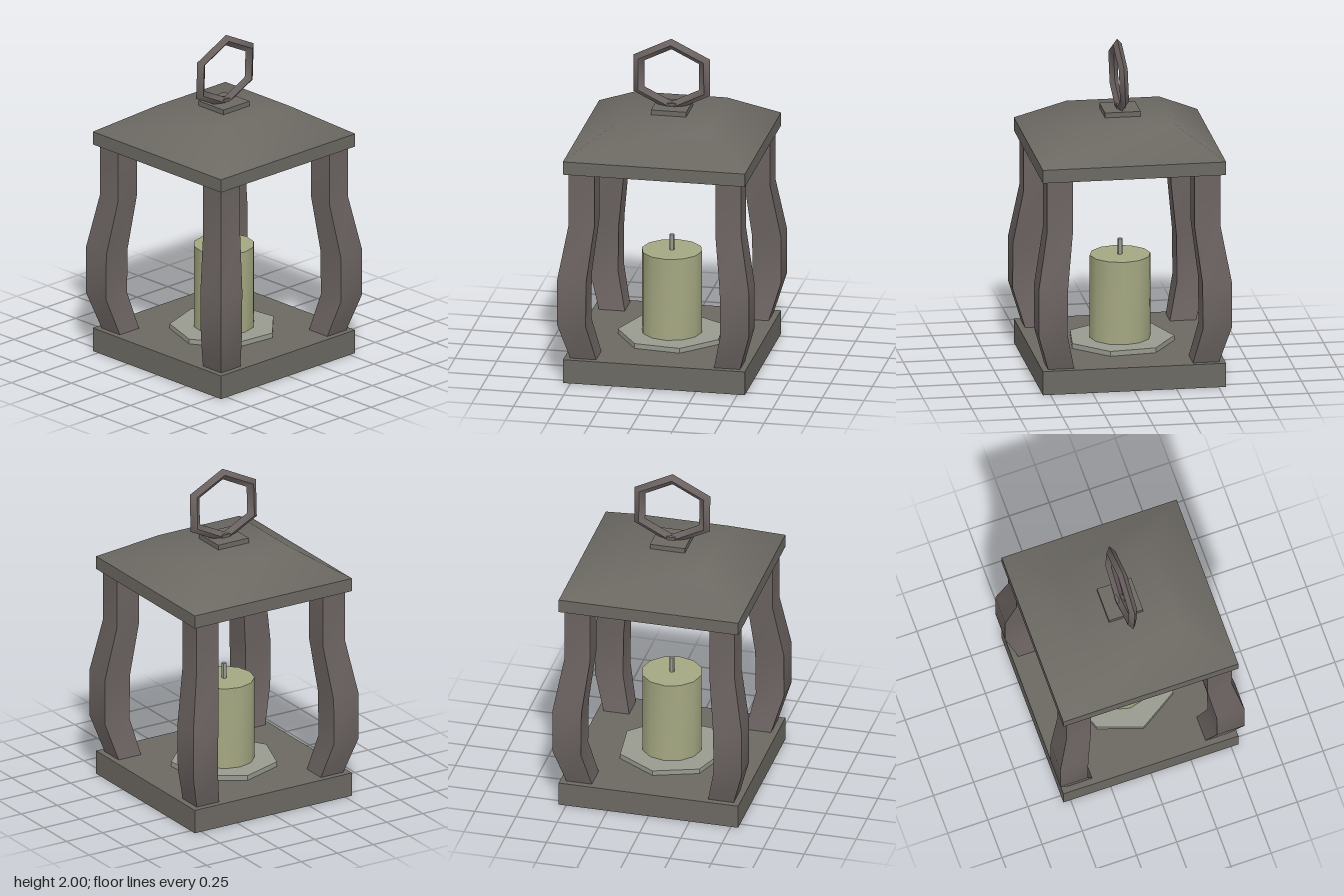
import * as THREE from 'three';
import { toCreasedNormals } from 'three/addons/utils/BufferGeometryUtils.js';

const IRON = 0x6b6361, STONE = 0x6c6963, WAX = 0xa5a882, PALE = 0x999b90;

function part(name, geometry, color, x = 0, y = 0, z = 0) {
  const material = new THREE.MeshStandardMaterial({ color });
  const mesh = new THREE.Mesh(toCreasedNormals(geometry, 0.85), material);
  mesh.name = name;
  mesh.position.set(x, y, z);
  return mesh;
}

// Lofts square sections [y, min, max], where min..max spans both x and z.
function squareLoft(sections) {
  const pos = [], index = [];
  for (const [y, a, b] of sections) pos.push(a, y, b, b, y, b, b, y, a, a, y, a);
  const last = (sections.length - 1) * 4;
  for (let s = 0; s < last; s += 4) {
    for (let i = 0; i < 4; i++) {
      const j = (i + 1) % 4;
      index.push(s + i, s + j, s + 4 + j, s + i, s + 4 + j, s + 4 + i);
    }
  }
  index.push(0, 2, 1, 0, 3, 2, last, last + 1, last + 2, last, last + 2, last + 3);
  const geometry = new THREE.BufferGeometry();
  geometry.setAttribute('position', new THREE.Float32BufferAttribute(pos, 3));
  geometry.setIndex(index);
  return geometry;
}

export function createModel() {
  const lantern = new THREE.Group();
  lantern.name = 'lantern';

  // Square base slab
  lantern.add(part('base', new THREE.BoxGeometry(1.09, 0.145, 1.09), STONE, 0, 0.0725, 0));

  // Four bowed corner posts
  const post = squareLoft([
    [0.14, 0.352, 0.507], [0.37, 0.403, 0.574], [0.65, 0.4, 0.574],
    [0.98, 0.362, 0.516], [1.31, 0.362, 0.516],
  ]);
  for (let i = 0; i < 4; i++) {
    const mesh = part('cornerPost', post, IRON);
    mesh.rotation.y = i * Math.PI / 2;
    lantern.add(mesh);
  }

  // Sloped roof with a short vertical rim
  lantern.add(part('roof', squareLoft([
    [1.3, -0.545, 0.545], [1.38, -0.545, 0.545], [1.55, -0.275, 0.275],
  ]), STONE));

  // Cap plate and ring seat
  lantern.add(part('capPlate', new THREE.BoxGeometry(0.212, 0.035, 0.212), STONE, 0, 1.5625, 0));
  lantern.add(part('ringSeat', new THREE.BoxGeometry(0.05, 0.03, 0.054), IRON, -0.003, 1.583, 0));

  // Slightly tilted six-sided ring with a diamond section
  const ring = new THREE.TorusGeometry(0.1975, 0.033, 4, 6);
  ring.rotateZ(Math.PI / 2);
  ring.scale(1.15, 1, 0.8);
  ring.rotateY(Math.PI / 2);
  const handle = part('carryRing', ring, IRON, 0.008, 1.77, 0);
  handle.rotation.z = -0.04;
  lantern.add(handle);

  // Seven-sided dish, candle and wick
  lantern.add(part('candleDish',
    new THREE.CylinderGeometry(0.319, 0.319, 0.035, 7, 1, false, -Math.PI / 4), PALE, 0, 0.1575, 0));
  lantern.add(part('candle', new THREE.CylinderGeometry(0.18, 0.18, 0.51, 12), WAX, 0, 0.425, 0));
  lantern.add(part('wick', new THREE.CylinderGeometry(0.014, 0.014, 0.11, 8), PALE, 0, 0.72, 0));

  return lantern;
}
